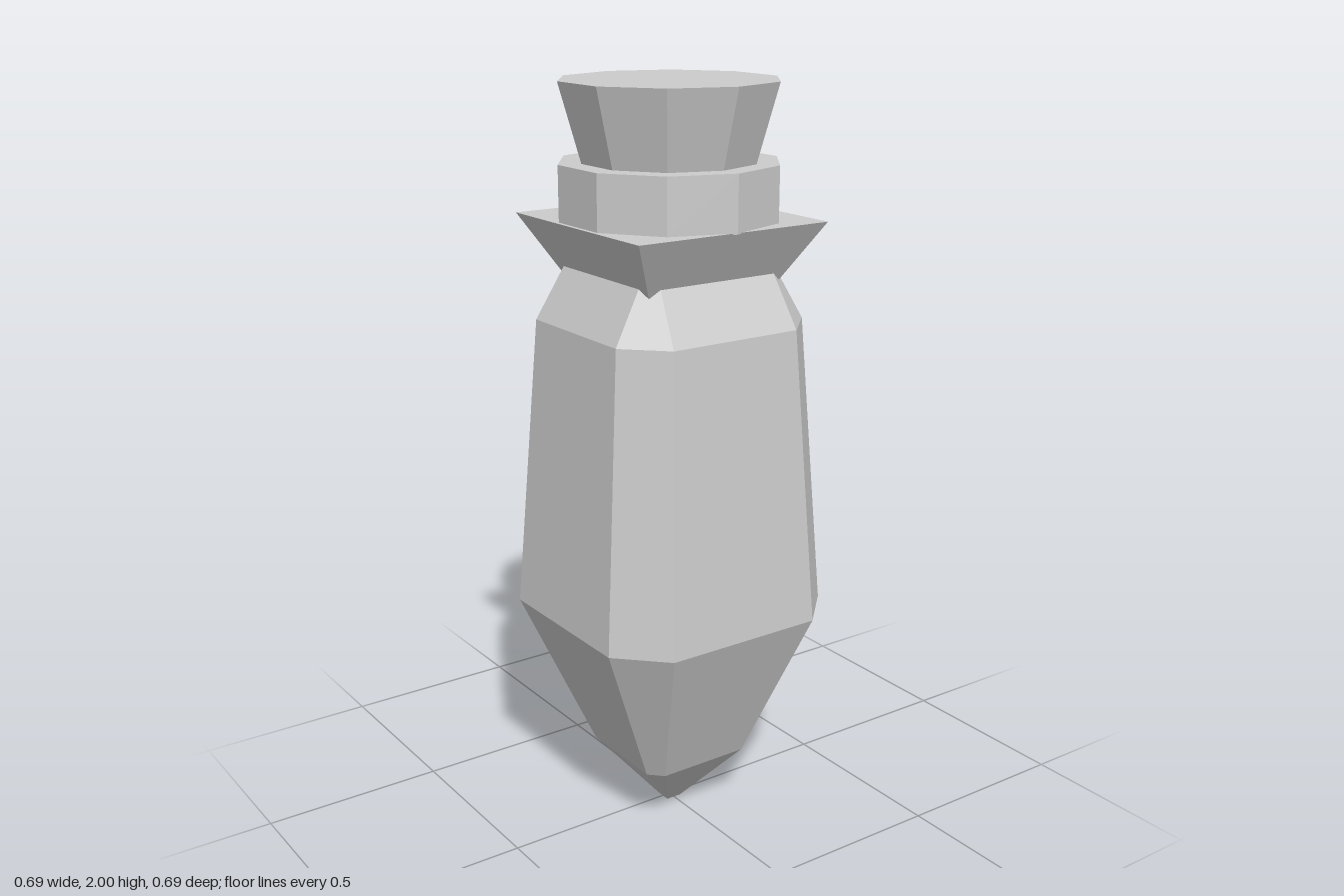
import * as THREE from 'three';

const material = new THREE.MeshStandardMaterial({ color: 0xcccccc, flatShading: true });

// Square with cut corners: a = half width, b = half length of each straight side
const ring = (y, a, b) => [
  [b, a], [a, b], [a, -b], [b, -a], [-b, -a], [-a, -b], [-a, b], [-b, a],
].map(([x, z]) => [x, y, z]);

// Joins stacked rings (bottom to top) into a closed faceted solid
function loft(sections) {
  const rings = sections.map((s) => ring(...s));
  const pos = [];
  const n = rings[0].length;
  for (let i = 0; i < rings.length - 1; i++) {
    for (let j = 0; j < n; j++) {
      const k = (j + 1) % n;
      const p = rings[i][j], q = rings[i][k], r = rings[i + 1][k], s = rings[i + 1][j];
      pos.push(...p, ...q, ...r, ...p, ...r, ...s);
    }
  }
  const bottom = rings[0], top = rings[rings.length - 1];
  for (let j = 1; j < n - 1; j++) {
    pos.push(...bottom[0], ...bottom[j + 1], ...bottom[j]);
    pos.push(...top[0], ...top[j], ...top[j + 1]);
  }
  const geometry = new THREE.BufferGeometry();
  geometry.setAttribute('position', new THREE.Float32BufferAttribute(pos, 3));
  geometry.computeVertexNormals();
  return geometry;
}

export function createModel() {
  const group = new THREE.Group();
  const add = (name, geometry, y = 0) => {
    const mesh = new THREE.Mesh(geometry, material);
    mesh.name = name;
    mesh.position.y = y;
    group.add(mesh);
  };

  // Faceted bottle body tapering to a blunt tip
  add('body', loft([
    [0, 0.023, 0.021],
    [0.175, 0.165, 0.129],
    [0.61, 0.343, 0.224],
    [1.395, 0.288, 0.188],
    [1.545, 0.201, 0.171],
  ]));

  // Flared square collar, its foot sunk into the shoulders
  const side = Math.SQRT2;
  const collar = new THREE.CylinderGeometry(0.284 * side, 0.197 * side, 0.155, 4);
  collar.rotateY(Math.PI / 4);
  add('collar', collar, 1.5805);

  // Ten-sided neck ring and stopper
  add('neckRing', new THREE.CylinderGeometry(0.287, 0.287, 0.145, 10), 1.7275);
  add('stopper', new THREE.CylinderGeometry(0.284, 0.227, 0.2, 10), 1.9);

  return group;
}
